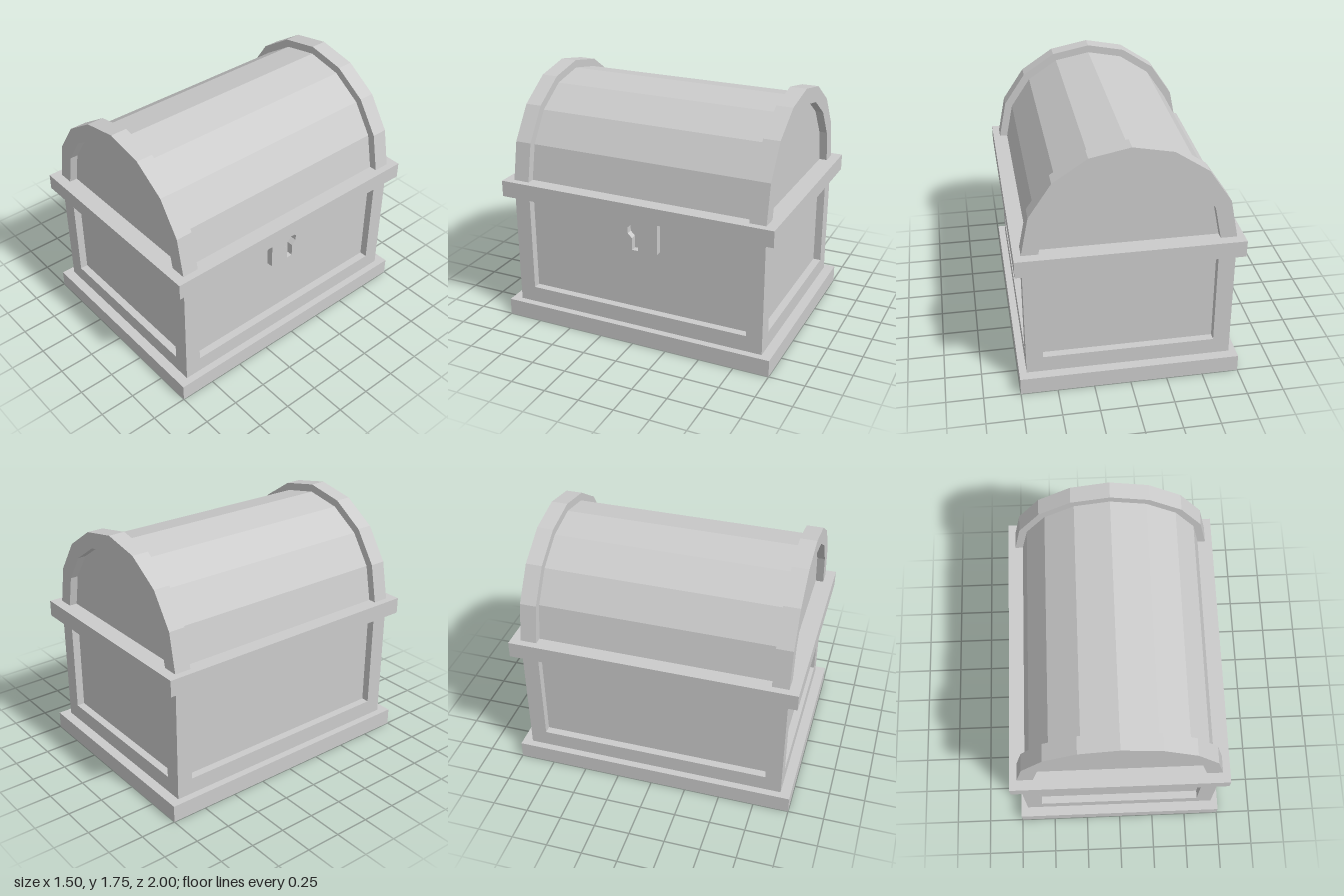
import * as THREE from 'three';

const material = new THREE.MeshStandardMaterial({ color: 0xcccccc, flatShading: true });

// Half-extents of the corner posts, the recessed panels and the projecting slabs
const POST_X = 0.7, POST_Z = 0.93;
const PANEL_X = 0.645, PANEL_Z = 0.875;
const SLAB_X = 0.75, SLAB_Z = 1;
// Heights of the base, the rim and the thickness of the frame timbers
const BASE_TOP = 0.12, RIM_BOTTOM = 0.935, RIM_TOP = 1.05, BEAM = 0.115;

function add(parent, name, geometry) {
  const mesh = new THREE.Mesh(geometry, material);
  mesh.name = name;
  parent.add(mesh);
  return mesh;
}

// Box given by its size in x and z, its bottom and top, and its centre in x and z
function addBox(parent, name, w, d, y0, y1, x = 0, z = 0) {
  const mesh = add(parent, name, new THREE.BoxGeometry(w, y1 - y0, d));
  mesh.position.set(x, (y0 + y1) / 2, z);
}

// Points of an eight-sided half circle, from right to left
function arcPoints(radius) {
  return Array.from({ length: 9 }, (_, i) => {
    const a = (i / 8) * Math.PI;
    return new THREE.Vector2(radius * Math.cos(a), radius * Math.sin(a));
  });
}

function extrude(shape, depth) {
  return new THREE.ExtrudeGeometry(shape, { depth, bevelEnabled: false });
}

function createBody() {
  const body = new THREE.Group();
  body.name = 'body';
  addBox(body, 'base', SLAB_X * 2, SLAB_Z * 2, 0, BASE_TOP);
  addBox(body, 'panels', PANEL_X * 2, PANEL_Z * 2, BASE_TOP, RIM_BOTTOM);
  addBox(body, 'rim', SLAB_X * 2, SLAB_Z * 2, RIM_BOTTOM, RIM_TOP);

  // Raised frame: four corner posts and a low rail on every side
  const px = POST_X - BEAM / 2, pz = POST_Z - BEAM / 2;
  const railTop = BASE_TOP + BEAM;
  for (const s of [-1, 1]) {
    for (const t of [-1, 1]) {
      addBox(body, 'cornerPost', BEAM, BEAM, BASE_TOP, RIM_BOTTOM, s * px, t * pz);
    }
    addBox(body, 'endRail', (POST_X - BEAM) * 2, BEAM, BASE_TOP, railTop, 0, s * pz);
    addBox(body, 'sideRail', BEAM, (POST_Z - BEAM) * 2, BASE_TOP, railTop, s * px, 0);
  }
  return body;
}

function createLid() {
  const lid = new THREE.Group();
  lid.name = 'lid';
  lid.position.y = RIM_TOP;

  // Faceted barrel top, closed by the recessed end panels
  const barrel = add(lid, 'barrel', extrude(new THREE.Shape(arcPoints(PANEL_X)), PANEL_Z * 2));
  barrel.position.z = -PANEL_Z;

  // Raised hoop at each end
  const hoopShape = new THREE.Shape([...arcPoints(POST_X), ...arcPoints(0.59).reverse()]);
  for (const s of [-1, 1]) {
    const hoop = add(lid, 'endHoop', extrude(hoopShape, BEAM));
    hoop.position.z = s * (POST_Z - BEAM / 2) - BEAM / 2;
  }
  return lid;
}

function createLock() {
  // Pointed plate
  const plate = new THREE.Shape([
    [-0.165, RIM_BOTTOM], [-0.165, 0.69], [0, 0.545], [0.165, 0.69], [0.165, RIM_BOTTOM],
  ].map(([x, y]) => new THREE.Vector2(x, y)));

  // Keyhole: an octagon running into a narrow slot
  const keyhole = [new THREE.Vector2(0.022, 0.69)];
  for (let i = 0; i < 8; i++) {
    const a = -Math.PI / 2 + (i + 0.5) * Math.PI / 4;
    keyhole.push(new THREE.Vector2(0.057 * Math.cos(a), 0.83 + 0.057 * Math.sin(a)));
  }
  keyhole.push(new THREE.Vector2(-0.022, 0.69));
  plate.holes.push(new THREE.Path(keyhole));

  const lock = new THREE.Group();
  lock.name = 'lock';
  add(lock, 'lockPlate', extrude(plate, 0.045));
  lock.rotation.y = Math.PI / 2;
  lock.position.x = PANEL_X;
  return lock;
}

export function createModel() {
  const chest = new THREE.Group();
  chest.name = 'chest';
  chest.add(createBody(), createLid(), createLock());
  return chest;
}
